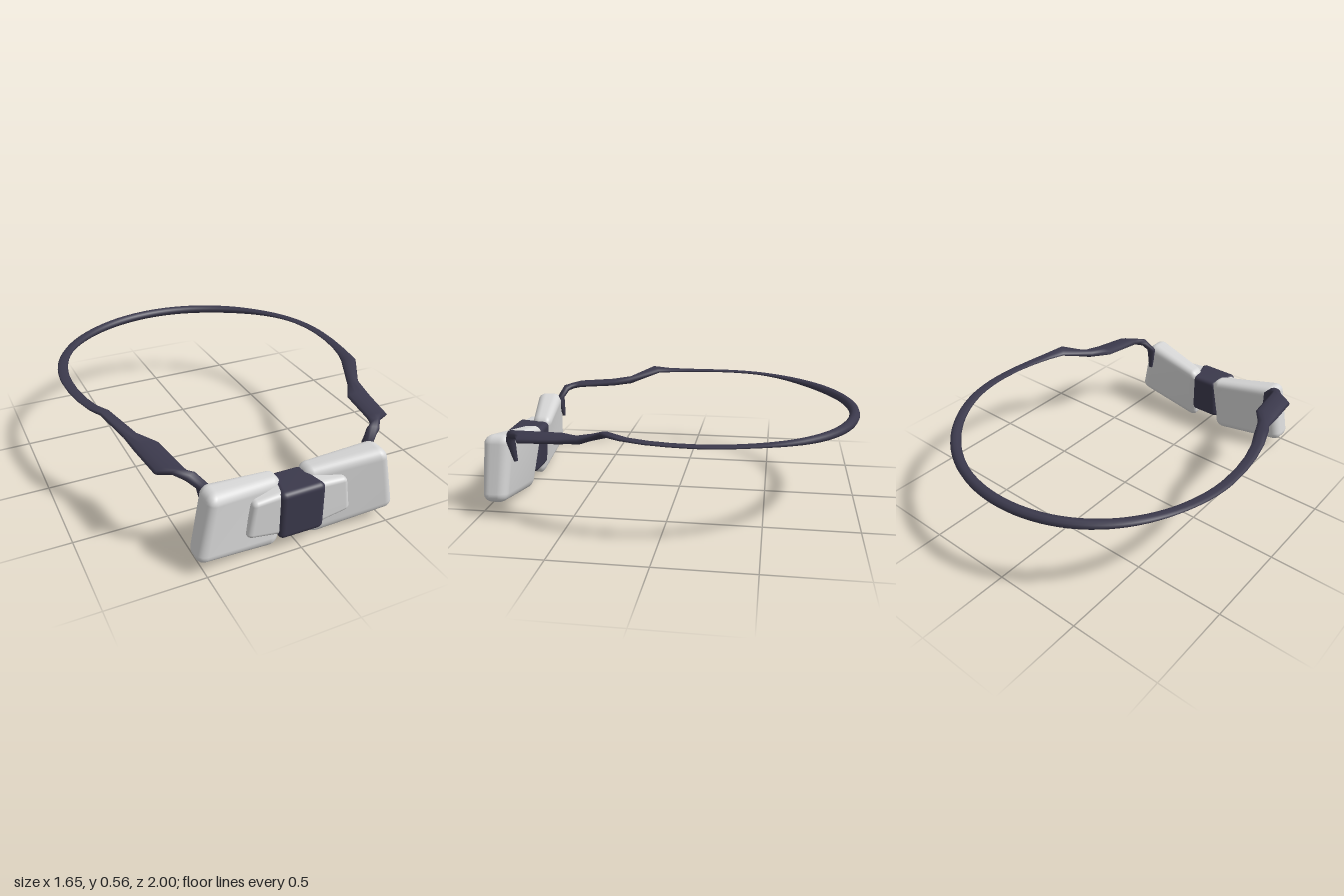
import * as THREE from 'three';
import { mergeVertices } from 'three/addons/utils/BufferGeometryUtils.js';
import { RoundedBoxGeometry } from 'three/addons/geometries/RoundedBoxGeometry.js';

// Rounded block warped to eight corners. Corner order: inner bottom, outer bottom,
// inner top, outer top; each is [x, y, zBack, zFront]. side -1 mirrors it in x.
function block([ib, ob, it, ot], size, radius, side = 1) {
  const [w, h, d] = size;
  let g = new RoundedBoxGeometry(w, h, d, 4, radius);
  g.deleteAttribute('normal');
  g.deleteAttribute('uv');
  g.clearGroups();
  g = mergeVertices(g, 1e-5);
  const p = g.attributes.position;
  const { lerp } = THREE.MathUtils;
  for (let i = 0; i < p.count; i++) {
    const u = 0.5 + (side * p.getX(i)) / w;
    const v = 0.5 + p.getY(i) / h;
    const f = 0.5 + p.getZ(i) / d;
    const c = [0, 1, 2, 3].map(k => lerp(lerp(ib[k], ob[k], u), lerp(it[k], ot[k], u), v));
    p.setXYZ(i, side * c[0], c[1], lerp(c[2], c[3], f));
  }
  g.computeVertexNormals();
  return g;
}

// Band lofted through rows of { outer, inner, half thickness } with elliptical sections.
function band(rows, sides = 10) {
  const centres = rows.map(r => r.o.clone().add(r.i).multiplyScalar(0.5));
  const pos = [], idx = [], n = rows.length;
  rows.forEach((r, k) => {
    const t = centres[Math.min(k + 1, n - 1)].clone().sub(centres[Math.max(k - 1, 0)]);
    const w = r.o.clone().sub(r.i).multiplyScalar(0.5);
    const up = t.cross(w).normalize().multiplyScalar(r.t);
    for (let j = 0; j < sides; j++) {
      const a = (j / sides) * Math.PI * 2;
      const q = centres[k].clone().addScaledVector(w, Math.cos(a)).addScaledVector(up, Math.sin(a));
      pos.push(q.x, q.y, q.z);
      if (k < n - 1) {
        const A = k * sides + j, B = k * sides + ((j + 1) % sides);
        idx.push(A, B, A + sides, B, B + sides, A + sides);
      }
    }
  });
  // end caps
  const last = (n - 1) * sides;
  for (let j = 1; j < sides - 1; j++) idx.push(0, j + 1, j, last, last + j, last + j + 1);
  const g = new THREE.BufferGeometry();
  g.setAttribute('position', new THREE.Float32BufferAttribute(pos, 3));
  g.setIndex(idx);
  g.computeVertexNormals();
  return g;
}

export function createModel() {
  const group = new THREE.Group();
  const light = new THREE.MeshStandardMaterial({ color: 0xd6d6d6 });
  light.name = 'pale grey';
  const dark = new THREE.MeshStandardMaterial({ color: 0x3b394c });
  dark.name = 'dark slate';
  const add = (name, geometry, material) => {
    const m = new THREE.Mesh(geometry, material);
    m.name = name;
    group.add(m);
  };

  // Bow wings and the small plates on their fronts
  const wing = [
    [0.085, -0.005, 0.86, 0.93], [0.55, 0.07, 0.86, 1.0],
    [0.06, 0.365, 0.785, 0.90], [0.475, 0.43, 0.835, 0.995],
  ];
  const plate = [
    [0.06, 0.095, 0.90, 0.985], [0.285, 0.13, 0.91, 0.98],
    [0.06, 0.345, 0.88, 0.985], [0.255, 0.325, 0.90, 0.98],
  ];
  for (const [label, side] of [['left', 1], ['right', -1]]) {
    add(label + 'Wing', block(wing, [0.45, 0.37, 0.14], 0.05, side), light);
    add(label + 'WingPlate', block(plate, [0.2, 0.22, 0.08], 0.025, side), light);
  }

  // Centre knot, narrower towards the back
  const knot = block([
    [-0.122, 0.082, 0.83, 1.0], [0.122, 0.082, 0.83, 1.0],
    [-0.122, 0.346, 0.80, 1.0], [0.122, 0.346, 0.80, 1.0],
  ], [0.244, 0.264, 0.2], 0.03);
  const kp = knot.attributes.position;
  for (let i = 0; i < kp.count; i++) {
    const s = THREE.MathUtils.smoothstep(kp.getZ(i), 0.8, 0.92);
    kp.setX(i, kp.getX(i) * (0.65 + 0.35 * s));
  }
  knot.computeVertexNormals();
  add('knot', knot, dark);

  // Neck strap: round at the back, flat at the sides
  const V = (x, y, z) => new THREE.Vector3(x, y, z);
  const half = [];
  const steps = 28;
  for (let k = 0; k <= steps; k++) {
    const a = (k / steps) * Math.PI / 2;
    const s = Math.sin(a), c = Math.cos(a);
    const f = THREE.MathUtils.smoothstep(c, 0.25, 1);
    const y = 0.527 - 0.022 * f;
    half.push({
      o: V(0.827 * s, y, -0.17 - 0.83 * c),
      i: V(0.77 * s, y, -0.17 - 0.773 * c),
      t: 0.007 + 0.018 * f,
    });
  }
  // Front stretch: outer point, inner point, half thickness
  const front = [
    [0.823, 0.528, -0.06, 0.767, 0.527, -0.07, 0.007],
    [0.808, 0.53, 0.06, 0.752, 0.527, 0.04, 0.008],
    [0.783, 0.537, 0.18, 0.724, 0.528, 0.15, 0.010],
    [0.75, 0.553, 0.28, 0.69, 0.53, 0.23, 0.015],
    [0.685, 0.485, 0.41, 0.61, 0.48, 0.42, 0.022],
    [0.67, 0.47, 0.53, 0.54, 0.475, 0.52, 0.020],
    [0.642, 0.455, 0.735, 0.51, 0.468, 0.74, 0.020],
    [0.575, 0.455, 0.765, 0.50, 0.462, 0.785, 0.020],
    [0.53, 0.445, 0.825, 0.47, 0.455, 0.80, 0.022],
    [0.485, 0.40, 0.845, 0.42, 0.40, 0.835, 0.022],
    [0.455, 0.28, 0.825, 0.43, 0.28, 0.82, 0.010],
  ];
  for (const [ox, oy, oz, ix, iy, iz, t] of front) half.push({ o: V(ox, oy, oz), i: V(ix, iy, iz), t });
  const flip = v => V(-v.x, v.y, v.z);
  const mirrored = half.slice(1).reverse().map(r => ({ o: flip(r.o), i: flip(r.i), t: r.t }));
  add('strap', band([...mirrored, ...half]), dark);

  return group;
}
